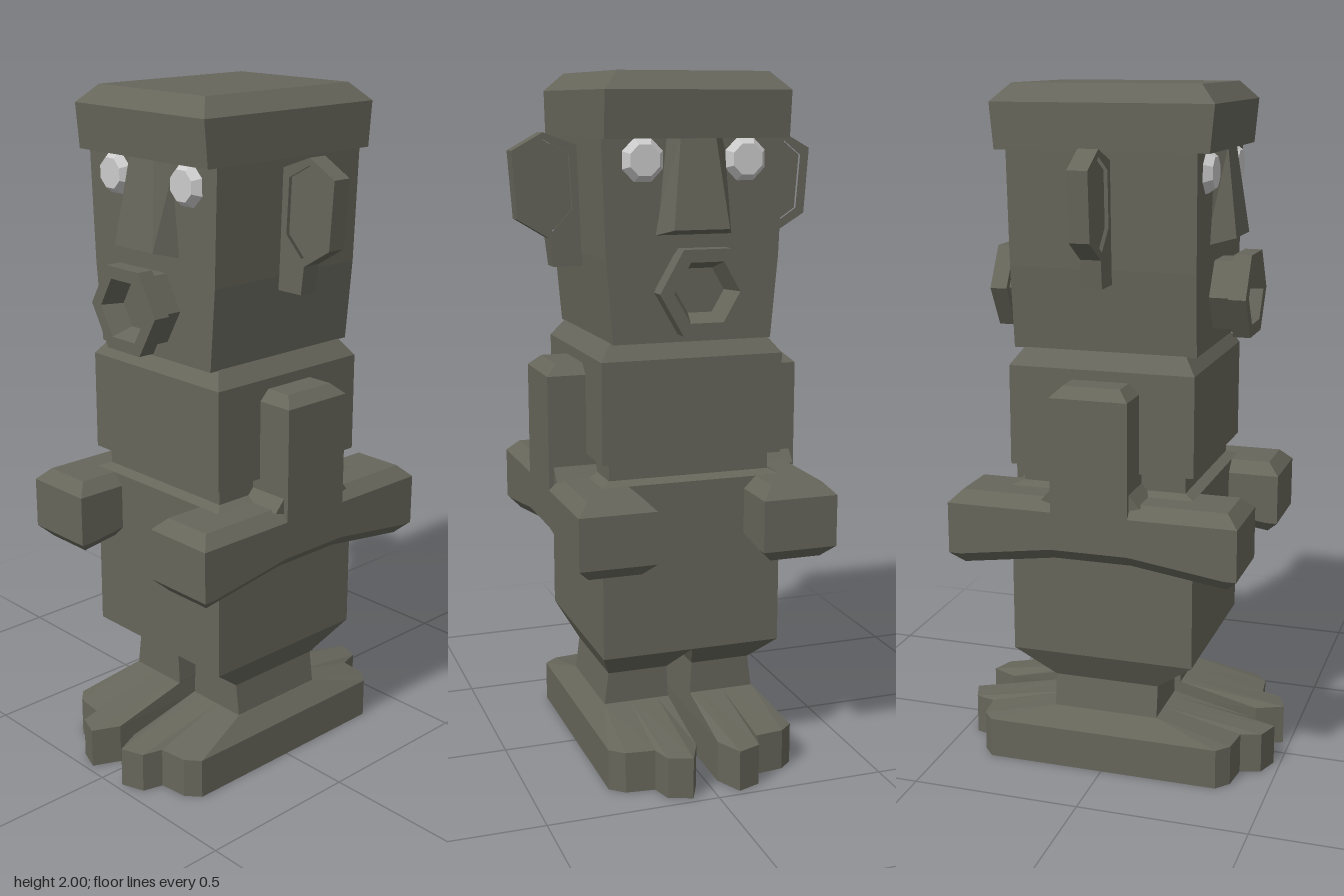
import * as THREE from 'three';

const stone = new THREE.MeshStandardMaterial({ color: 0x66665b, flatShading: true });
const white = new THREE.MeshStandardMaterial({ color: 0xcccccc, flatShading: true });

// Closed solid through rings of [x, y, z] corners, capped by fans, faces turned outward
function loft(rings) {
  const V = rings.map(r => r.map(p => new THREE.Vector3(...p)));
  const n = V[0].length, tris = [];
  for (let i = 0; i + 1 < V.length; i++) {
    for (let j = 0; j < n; j++) {
      const k = (j + 1) % n;
      tris.push([V[i][j], V[i][k], V[i + 1][k]], [V[i][j], V[i + 1][k], V[i + 1][j]]);
    }
  }
  const cap = (ring, flip) => {
    const c = new THREE.Vector3();
    ring.forEach(p => c.addScaledVector(p, 1 / n));
    ring.forEach((p, j) => {
      const q = ring[(j + 1) % n];
      tris.push(flip ? [c, q, p] : [c, p, q]);
    });
  };
  cap(V[0], true);
  cap(V[V.length - 1], false);
  const cross = new THREE.Vector3();
  let volume = 0;
  tris.forEach(([a, b, c]) => { volume += a.dot(cross.crossVectors(b, c)); });
  const points = [];
  tris.forEach(([a, b, c]) => {
    if (new THREE.Triangle(a, b, c).getArea() < 1e-7) return;
    points.push(...(volume < 0 ? [a, c, b] : [a, b, c]));
  });
  const g = new THREE.BufferGeometry().setFromPoints(points);
  g.computeVertexNormals();
  return g;
}

// Horizontal rectangle at height y
const rect = (y, x0, x1, z) => [[x0, y, z], [x1, y, z], [x1, y, -z], [x0, y, -z]];
const block = rows => loft(rows.map(([y, x, z]) => rect(y, -x, x, z)));

function add(parent, name, geometry, material = stone) {
  const m = new THREE.Mesh(geometry, material);
  m.name = name;
  parent.add(m);
  return m;
}

// Features of one face: nose, eyes and open mouth
function makeFace() {
  const face = new THREE.Group();
  add(face, 'nose', loft([
    [[-0.09, 1.83, 0.26], [0.09, 1.83, 0.26], [0.05, 1.83, 0.303], [-0.05, 1.83, 0.303]],
    [[-0.115, 1.56, 0.26], [0.115, 1.56, 0.26], [0.08, 1.58, 0.338], [-0.08, 1.58, 0.338]],
  ]));
  for (const s of [-1, 1]) {
    const g = new THREE.CylinderGeometry(0.045, 0.071, 0.035, 8);
    g.rotateY(Math.PI / 8).rotateX(Math.PI / 2);
    add(face, 'eye', g, white).position.set(s * 0.148, 1.765, 0.278);
  }
  const profile = [[0.112, 0.25], [0.112, 0.33], [0.135, 0.33], [0.135, 0.38],
    [0.095, 0.38], [0.07, 0.32], [0, 0.32]].map(p => new THREE.Vector2(...p));
  const lips = new THREE.LatheGeometry(profile, 6);
  lips.rotateY(Math.PI / 2).rotateX(Math.PI / 2);
  add(face, 'mouth', lips).position.y = 1.415;
  return face;
}

// Ear: thin plate with a sunken panel and a lobe
function makeEar() {
  const ear = new THREE.Group();
  const pts = list => list.map(p => new THREE.Vector2(...p));
  const rim = pts([[0.24, 1.79], [0.265, 1.80], [0.36, 1.835], [0.45, 1.785], [0.436, 1.595],
    [0.345, 1.54], [0.335, 1.46], [0.24, 1.46]]);
  const inner = pts([[0.285, 1.775], [0.36, 1.815], [0.422, 1.765], [0.41, 1.61], [0.335, 1.56], [0.277, 1.62]]);
  const extrude = (shape, d) =>
    new THREE.ExtrudeGeometry(shape, { depth: d, bevelEnabled: false }).translate(0, 0, -d / 2);
  const outer = new THREE.Shape(rim);
  outer.holes.push(new THREE.Path(inner));
  add(ear, 'earRim', extrude(outer, 0.058));
  add(ear, 'earPanel', extrude(new THREE.Shape(inner), 0.036));
  return ear;
}

// Arm: upright upper arm on a bar that reaches forward and back as hands
function makeArm() {
  const arm = new THREE.Group();
  add(arm, 'upperArm', loft([
    rect(0.78, 0.22, 0.38, 0.113), rect(1.16, 0.22, 0.38, 0.113), rect(1.19, 0.22, 0.347, 0.083),
  ]));
  const section = (z, low, cx, cy) => {
    const x0 = 0.157, x1 = 0.38, y0 = low, y1 = 0.865, c = 0.035;
    return [[x0 + cx, y1 - cy, z], [x1 - cx, y1 - cy, z], [x1, y1 - c, z], [x1, y0 + c, z],
      [x1 - cx, y0 + cy, z], [x0 + cx, y0 + cy, z], [x0, y0 + c, z], [x0, y1 - c, z]];
  };
  add(arm, 'forearms', loft([
    section(-0.425, 0.645, 0, 0.035), section(-0.39, 0.645, 0.035, 0), section(-0.113, 0.685, 0.035, 0),
    section(0.113, 0.685, 0.035, 0), section(0.39, 0.645, 0.035, 0), section(0.425, 0.645, 0, 0.035),
  ]));
  // small braces in the elbow corners
  for (const s of [-1, 1]) {
    add(arm, 'elbow', loft([0.24, 0.365].map(x =>
      [[x, 0.90, s * 0.11], [x, 0.85, s * 0.11], [x, 0.86, s * 0.145]])));
  }
  return arm;
}

// Leg with a foot whose toes point both ways
function makeLeg() {
  const leg = new THREE.Group();
  add(leg, 'shin', loft([
    rect(0.16, 0.035, 0.235, 0.158), rect(0.18, 0.035, 0.232, 0.158),
    rect(0.27, 0.04, 0.22, 0.158), rect(0.36, 0, 0.268, 0.272),
  ]));
  const half = [[0.28, 0.35], [0.24, 0.385], [0.155, 0.395], [0.138, 0.455], [0.07, 0.48], [0.033, 0.40], [0.033, 0.16]];
  const outline = [...half, ...half.map(([x, z]) => [x, -z]).reverse()];
  const at = y => outline.map(([x, z]) => [x, y, z]);
  const top = outline.map(([x, z]) =>
    [THREE.MathUtils.clamp(x, 0.035, 0.235), 0.175, THREE.MathUtils.clamp(z, -0.16, 0.16)]);
  add(leg, 'foot', loft([at(0), at(0.12), top]));
  return leg;
}

export function createModel() {
  const model = new THREE.Group();
  model.name = 'twoFacedStatue';

  // Trunk and head
  add(model, 'hips', block([[0.36, 0.268, 0.272], [0.865, 0.268, 0.272], [0.877, 0.24, 0.242]]));
  add(model, 'waist', block([[0.86, 0.24, 0.242], [0.94, 0.24, 0.242]]));
  add(model, 'chest', block([[0.93, 0.268, 0.272], [1.22, 0.268, 0.272], [1.268, 0.232, 0.238]]));
  add(model, 'head', block([[1.266, 0.232, 0.268], [1.5, 0.252, 0.27], [1.83, 0.264, 0.272]]));
  add(model, 'cap', block([[1.822, 0.266, 0.306], [1.95, 0.266, 0.318], [2.0, 0.217, 0.27]]));

  // Matching faces on the front and back
  for (const [name, turn] of [['frontFace', 0], ['backFace', Math.PI]]) {
    const face = makeFace();
    face.name = name;
    face.rotation.y = turn;
    model.add(face);
  }

  // Paired parts: everything is symmetric in z, so a half turn mirrors it
  for (const [side, turn] of [['left', 0], ['right', Math.PI]]) {
    for (const [part, make] of [['Ear', makeEar], ['Arm', makeArm], ['Leg', makeLeg]]) {
      const g = make();
      g.name = side + part;
      g.rotation.y = turn;
      model.add(g);
    }
  }
  return model;
}
